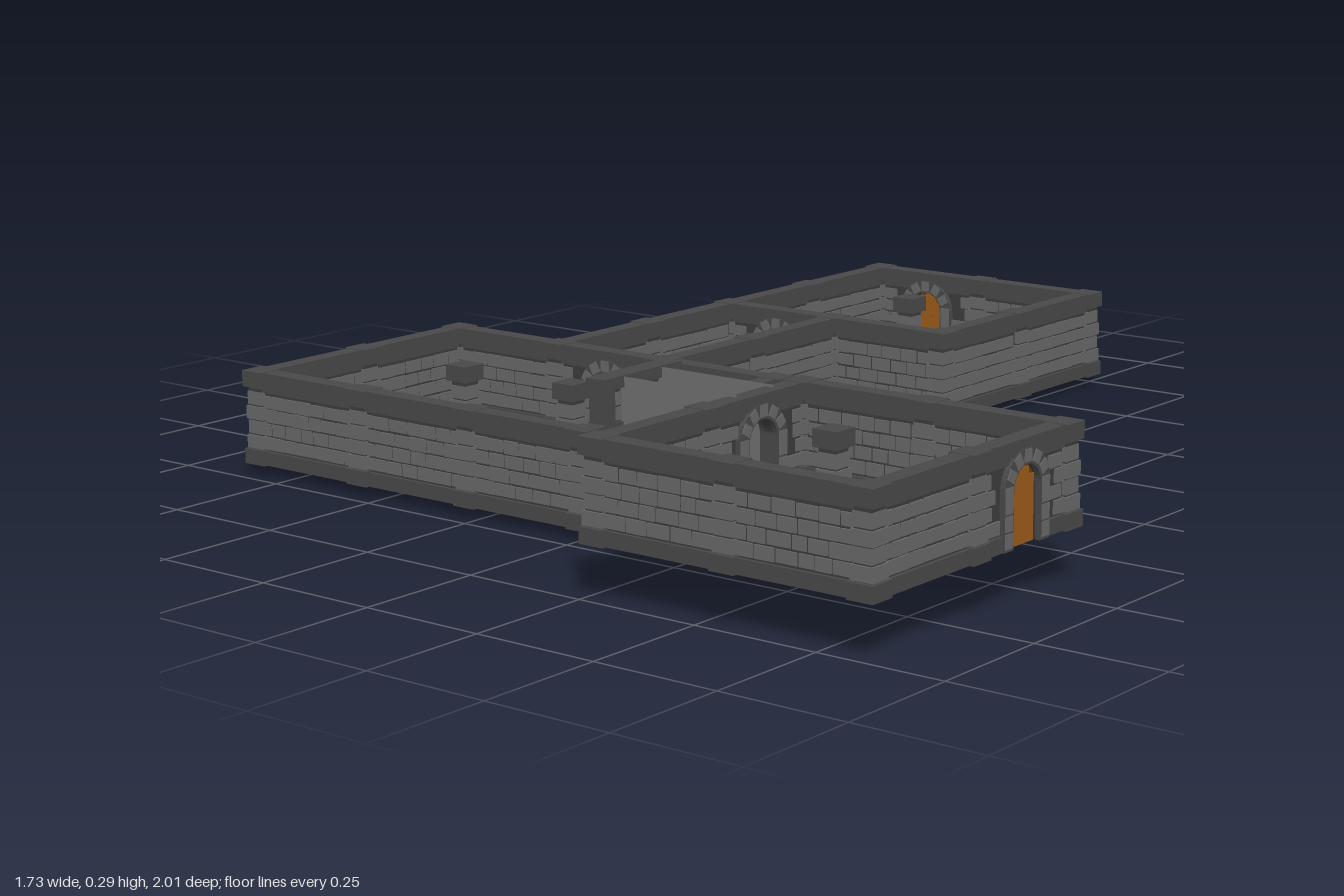
import * as THREE from 'three';

const M = 0.279;                       // grid module
const gx = i => -0.837 + i * M;
const gz = j => -0.977 + j * M;
const H = 0.185;                       // wall height
const LOW = 0.02, HIGH = 0.098;        // base levels of the rooms

const mat = (color, side = THREE.FrontSide) => new THREE.MeshStandardMaterial({ color, side, flatShading: true });
const stone = mat(0x484848), brickMat = mat(0x676767), core = mat(0x3c3c3c), floorMat = mat(0x6a6a6a);
const slabMat = mat(0x585858), wood = mat(0x9a5a1a), darkWood = mat(0x6b3c10);
const sheet = mat(0x6e6e6e, THREE.DoubleSide);

let seed = 7;
const rnd = () => (seed = (seed * 16807) % 2147483647) / 2147483647;

function add(parent, name, geo, material, x = 0, y = 0, z = 0) {
  const m = new THREE.Mesh(geo, material);
  m.name = name;
  m.position.set(x, y, z);
  parent.add(m);
  return m;
}
const box = (parent, name, material, w, h, d, x, y, z) =>
  add(parent, name, new THREE.BoxGeometry(w, h, d), material, x, y, z);

// Arched outline, standing on y = 0
function arch(r, straight) {
  const s = new THREE.Shape();
  s.moveTo(-r, 0);
  s.lineTo(r, 0);
  s.lineTo(r, straight);
  s.absarc(0, straight, r, 0, Math.PI, false);
  s.lineTo(-r, 0);
  return s;
}
function extrude(shape, depth) {
  const g = new THREE.ExtrudeGeometry(shape, { depth, bevelEnabled: false, curveSegments: 10 });
  return g.translate(0, 0, -depth / 2);
}
// Ring-like outline around a doorway, open at the bottom
function doorOutline(halfWidth, height, outerArch) {
  const s = new THREE.Shape();
  s.moveTo(-halfWidth, 0);
  s.lineTo(-0.04, 0);
  s.lineTo(-0.04, 0.1);
  s.absarc(0, 0.1, 0.04, Math.PI, 0, true);
  s.lineTo(0.04, 0);
  s.lineTo(halfWidth, 0);
  s.lineTo(halfWidth, height);
  if (outerArch) s.absarc(0, height, halfWidth, 0, Math.PI, false);
  else s.lineTo(-halfWidth, height);
  return s;
}

// Plank door with two battens, lying in the xy plane
function doorLeaf(parent) {
  const g = new THREE.Group();
  g.name = 'door';
  add(g, 'doorPanel', extrude(arch(0.039, 0.1), 0.012), darkWood);
  for (let k = -2; k <= 2; k++) {
    const top = 0.1 + Math.sqrt(0.038 ** 2 - (Math.abs(k) * 0.0145 + 0.004) ** 2 || 0) * 0.95;
    const h = Number.isNaN(top) || Math.abs(k) === 2 ? 0.117 : top;
    box(g, 'doorPlank', wood, 0.013, h, 0.017, k * 0.0148, h / 2, 0);
  }
  parent.add(g);
  return g;
}

// One wall module; kind: undefined, 'open' or 'door'
function wall(parent, x, y, z, alongZ, kind) {
  const g = new THREE.Group();
  g.name = kind ? 'doorwayWall' : 'wall';
  g.position.set(x, y, z);
  if (alongZ) g.rotation.y = Math.PI / 2;
  if (kind) {
    add(g, 'wallCore', extrude(doorOutline(M / 2, H - 0.01), 0.02), core);
    add(g, 'doorFrame', extrude(doorOutline(0.068, 0.1, true), 0.04), stone);
    // voussoirs around the arch
    for (let k = 0; k <= 6; k++) {
      const a = Math.PI * k / 6;
      const v = box(g, 'archStone', brickMat, 0.022, 0.02, 0.044, Math.cos(a) * 0.055, 0.1 + Math.sin(a) * 0.055, 0);
      v.rotation.z = a;
    }
    for (const s of [-1, 1]) {
      box(g, 'wallBase', stone, 0.08, 0.028, 0.034, s * 0.099, 0.014, 0);
      for (let k = 0; k < 3; k++) box(g, 'jambStone', brickMat, 0.022, 0.026, 0.044, s * 0.055, 0.018 + k * 0.03, 0);
    }
    if (kind === 'door') doorLeaf(g);
  } else {
    box(g, 'wallCore', core, M, H - 0.01, 0.02, 0, (H - 0.01) / 2, 0);
    box(g, 'wallBase', stone, M, 0.028, 0.034, 0, 0.014, 0);
  }
  box(g, 'wallCrown', stone, M, 0.028, 0.036, 0, H - 0.014, 0);
  box(g, 'wallCrownStep', stone, M, 0.012, 0.029, 0, H - 0.034, 0);
  // brick courses with uneven widths
  for (let row = 0; row < 4; row++) {
    let bx = -0.118 - (row % 2) * 0.018;
    while (bx < 0.115) {
      const w = Math.min(0.032 + rnd() * 0.02, 0.125 - bx);
      const c = bx + w / 2;
      const clear = !kind || Math.abs(c) - w / 2 > 0.06;
      if (clear && w > 0.01) box(g, 'brick', brickMat, w - 0.004, 0.022 + rnd() * 0.003, 0.025 + rnd() * 0.004, c, 0.044 + row * 0.0275, 0);
      bx += w;
    }
  }
  parent.add(g);
}

// Square pillar with stepped base and cap
function pillar(parent, x, y, z) {
  const g = new THREE.Group();
  g.name = 'pillar';
  g.position.set(x, y, z);
  box(g, 'pillarBase', stone, 0.052, 0.03, 0.052, 0, 0.015, 0);
  box(g, 'pillarShaft', core, 0.036, H - 0.03, 0.036, 0, H / 2, 0);
  for (let k = 0; k < 4; k++) {
    const w = k % 2 ? 0.039 : 0.044;
    box(g, 'pillarBlock', brickMat, w, 0.026, w, 0, 0.045 + k * 0.029, 0);
  }
  box(g, 'pillarCap', stone, 0.052, 0.032, 0.052, 0, H - 0.015, 0);
  parent.add(g);
}

// Floor slab with scattered flat cobbles
function floor(parent, i0, i1, j0, j1, y) {
  const w = (i1 - i0) * M, d = (j1 - j0) * M, cx = (gx(i0) + gx(i1)) / 2, cz = (gz(j0) + gz(j1)) / 2;
  box(parent, 'floor', floorMat, w, 0.012, d, cx, y + 0.007, cz);
  for (let i = i0; i < i1; i++) for (let j = j0; j < j1; j++) for (let k = 0; k < 12; k++) {
    const r = 0.011 + rnd() * 0.019;
    const sx = gx(i) + M * (0.14 + 0.24 * (k % 4) + (rnd() - 0.5) * 0.13);
    const sz = gz(j) + M * (0.18 + 0.32 * Math.floor(k / 4) + (rnd() - 0.5) * 0.18);
    const s = add(parent, 'cobble', new THREE.CylinderGeometry(r * 0.92, r, 0.004, 7), slabMat, sx, y + 0.014, sz);
    s.rotation.y = rnd() * 6;
    s.scale.z = 0.75 + rnd() * 0.4;
  }
}

export function createModel() {
  const root = new THREE.Group();
  root.name = 'dungeon';

  // Doorways by wall module: direction, grid column, grid row
  const doors = { 'x,1,0': 'door', 'x,1,2': 'open', 'x,1,4': 'open', 'z,3,5': 'open', 'z,4,5': 'open', 'z,6,5': 'door' };
  const rooms = [
    ['backRoom', 1, 3, 0, 2, LOW],
    ['corridor', 1, 2, 2, 4, LOW],
    ['mainHall', 0, 3, 4, 6, LOW],
    ['raisedRoom', 4, 6, 5, 7, HIGH],
  ];
  const done = new Set();
  const once = key => !done.has(key) && done.add(key);
  for (const [name, i0, i1, j0, j1, y] of rooms) {
    const g = new THREE.Group();
    g.name = name;
    floor(g, i0, i1, j0, j1, y);
    for (let i = i0; i <= i1; i++) for (let j = j0; j <= j1; j++)
      if (once(`p,${i},${j}`)) pillar(g, gx(i), y, gz(j));
    for (let i = i0; i < i1; i++) for (const j of [j0, j1]) {
      const key = `x,${i},${j}`;
      if (once(key)) wall(g, gx(i + 0.5), y, gz(j), false, doors[key]);
    }
    for (let j = j0; j < j1; j++) for (const i of [i0, i1]) {
      const key = `z,${i},${j}`;
      if (once(key)) wall(g, gx(i), y, gz(j + 0.5), true, doors[key]);
    }
    root.add(g);
  }

  // Stairway climbing from the hall to the raised room, between two thin sheets
  const stairs = new THREE.Group();
  stairs.name = 'stairs';
  stairs.position.set(0, 0, gz(5.5));
  const n = 8, run = 0.262 / n;
  for (let k = 0; k < n; k++) {
    const x = 0.01 + run * (k + 0.5), top = 0.034 + k * 0.0108;
    box(stairs, 'step', stone, run + 0.004, 0.034, 0.1, x, top - 0.017, 0);
    for (let b = 0; b < 3; b++)
      box(stairs, 'treadStone', brickMat, run - 0.006, 0.003, 0.019, x, top + 0.001, (b - 1) * 0.023 + (k % 2 ? 0.003 : -0.003));
  }
  for (const s of [-1, 1])
    add(stairs, 'stairSide', new THREE.PlaneGeometry(0.28, 0.27), sheet, 0.14, 0.153, s * 0.053);
  // Raised wall above the lower doorway
  box(stairs, 'upperWall', core, 0.024, 0.07, 0.2, 0, 0.235, 0);
  box(stairs, 'upperCrown', stone, 0.042, 0.022, 0.22, 0, 0.279, 0);
  for (const s of [-1, 1]) box(stairs, 'upperPost', stone, 0.036, 0.07, 0.026, 0, 0.236, s * 0.088);
  for (let k = 0; k < 8; k++)
    box(stairs, 'upperBrick', brickMat, 0.03, 0.024, 0.034, 0, 0.22 + (k % 2) * 0.028, (Math.floor(k / 2) - 1.5) * 0.038);
  root.add(stairs);

  // Door fallen on the corridor floor
  const fallen = doorLeaf(root);
  fallen.name = 'fallenDoor';
  fallen.rotation.set(-Math.PI / 2 + 0.1, 0, 0.42, 'YXZ');
  fallen.position.set(-0.365, 0.026, -0.245);

  return root;
}
